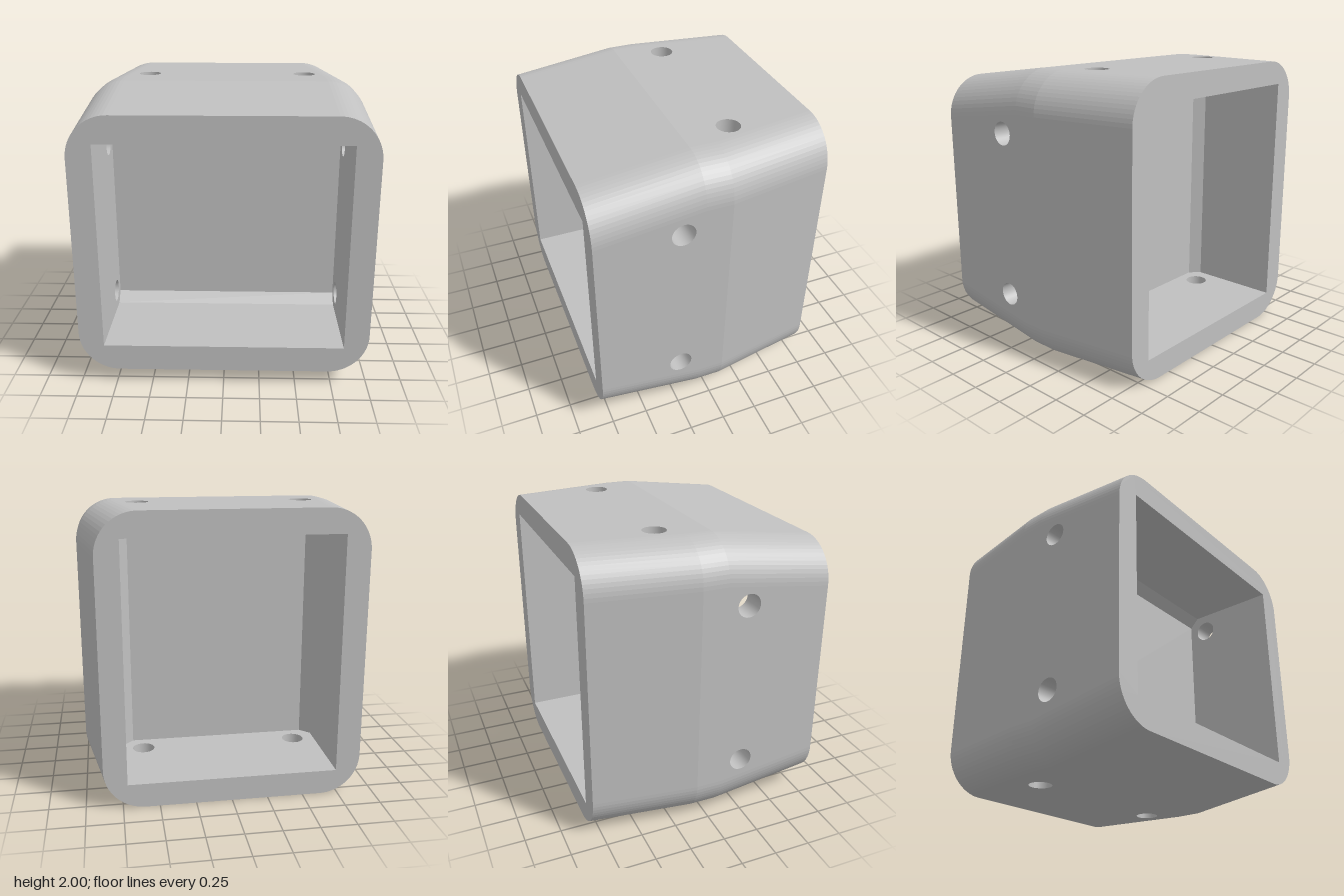
import * as THREE from 'three';

const END = 0.81, BREAK = 0.09, RADIUS = 0.28, STEPS = 16;
const POCKET_W = 0.83, CHAMFER = 0.07, HOLE_R = 0.08, HOLE_Z = 0.235, HOLE_Y = 0.575;

// Flat-shaded surface from a list of four-cornered faces
function quads(list) {
  const pos = [];
  for (const [a, b, c, d] of list) pos.push(...a, ...b, ...c, ...a, ...c, ...d);
  const g = new THREE.BufferGeometry();
  g.setAttribute('position', new THREE.Float32BufferAttribute(pos, 3));
  g.computeVertexNormals();
  return g;
}

// Rounded rectangle, counter-clockwise, x from -1 to 1 and y from lo to hi
function ring(lo, hi, z) {
  const pts = [];
  for (let k = 0; k < 4; k++) {
    const cx = (k === 0 || k === 3 ? 1 : -1) * (1 - RADIUS);
    const cy = k < 2 ? hi - RADIUS : lo + RADIUS;
    for (let i = 0; i <= STEPS; i++) {
      const a = (k + i / STEPS) * Math.PI / 2;
      pts.push([cx + RADIUS * Math.cos(a), cy + RADIUS * Math.sin(a), z]);
    }
  }
  return pts;
}

// Flat wall at a given x, facing dir, outlined in (z, y), with two bolt holes
function sidePanel(outline, x, dir) {
  const shape = new THREE.Shape(outline.map(([z, y]) => new THREE.Vector2(-dir * z, y)));
  for (const s of [-1, 1]) {
    shape.holes.push(new THREE.Path().absarc(-dir * HOLE_Z, s * HOLE_Y, HOLE_R, 0, Math.PI * 2, true));
  }
  return new THREE.ShapeGeometry(shape, 16).rotateY(dir * Math.PI / 2).translate(x, 0, 0);
}

// One socket: opens towards +z, outside tapers in y, bolt holes run along x
function socket(name, lo, hi, pocketLo, pocketHi, material) {
  const group = new THREE.Group();
  group.name = name;
  const add = (part, geometry) => {
    const mesh = new THREE.Mesh(geometry, material);
    mesh.name = part;
    group.add(mesh);
  };

  // Outer shell: rounded corners, top and bottom
  const rings = [ring(-1, 1, 0), ring(-1, 1, BREAK), ring(lo, hi, END)];
  const n = rings[0].length;
  const shell = [];
  for (let r = 0; r < 2; r++) {
    for (let j = 0; j < n; j++) {
      if (j === n - 1 || j === n / 2 - 1) continue; // side walls are separate
      const k = j + 1;
      shell.push([rings[r][j], rings[r][k], rings[r + 1][k], rings[r + 1][j]]);
    }
  }
  add('outerShell', quads(shell));

  // Rim around the opening
  const rim = new THREE.Shape(rings[2].map(([x, y]) => new THREE.Vector2(x, y)));
  rim.holes.push(new THREE.Path([
    [-POCKET_W, pocketLo], [-POCKET_W, pocketHi], [POCKET_W, pocketHi], [POCKET_W, pocketLo],
  ].map(([x, y]) => new THREE.Vector2(x, y))));
  add('rim', new THREE.ShapeGeometry(rim).translate(0, 0, END));

  // Pocket floor, chamfers, end wall and ceiling
  const profile = [
    [END, pocketLo], [BREAK + CHAMFER, pocketLo], [BREAK, pocketLo + CHAMFER],
    [BREAK, pocketHi - CHAMFER], [BREAK + CHAMFER, pocketHi], [END, pocketHi],
  ];
  const pocket = [];
  for (let i = 0; i < profile.length - 1; i++) {
    const [z0, y0] = profile[i], [z1, y1] = profile[i + 1];
    pocket.push([[-POCKET_W, y0, z0], [POCKET_W, y0, z0], [POCKET_W, y1, z1], [-POCKET_W, y1, z1]]);
  }
  add('pocket', quads(pocket));

  // Side walls, outside and inside, and the bolt holes through them
  const outline = [
    [0, RADIUS - 1], [BREAK, RADIUS - 1], [END, lo + RADIUS],
    [END, hi - RADIUS], [BREAK, 1 - RADIUS], [0, 1 - RADIUS],
  ];
  for (const s of [-1, 1]) {
    add('outerSide', sidePanel(outline, s, s));
    add('pocketSide', sidePanel(profile, s * POCKET_W, -s));
    for (const t of [-1, 1]) {
      const bore = new THREE.CylinderGeometry(HOLE_R, HOLE_R, 1 - POCKET_W, 32, 1, true);
      add('boltHole', bore.rotateZ(Math.PI / 2).translate(s * (1 + POCKET_W) / 2, t * HOLE_Y, HOLE_Z));
    }
  }
  return group;
}

export function createModel() {
  const material = new THREE.MeshStandardMaterial({ color: 0xc0c0c0, side: THREE.DoubleSide });
  material.name = 'lightGrey';

  const model = new THREE.Group();
  model.name = 'tubeConnector';
  const front = socket('frontSocket', -0.9, 0.905, -0.715, 0.72, material);

  // The back socket is turned so that x and y swap and z reverses
  const back = socket('backSocket', -0.905, 0.877, -0.738, 0.717, material);
  back.quaternion.setFromAxisAngle(new THREE.Vector3(1, 1, 0).normalize(), Math.PI);

  front.position.y = back.position.y = 1;
  model.add(front, back);
  return model;
}
